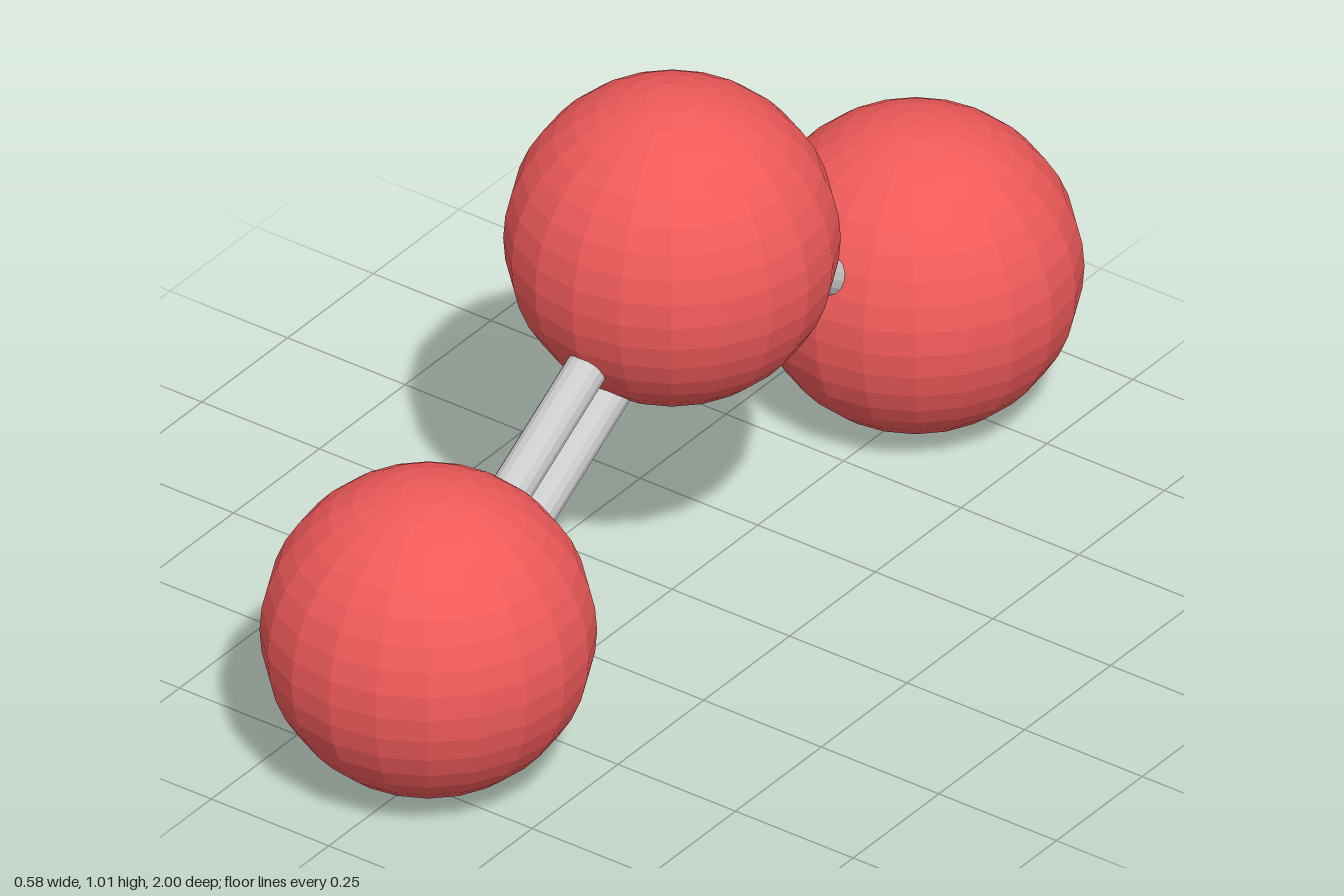
import * as THREE from 'three';

const BALL_RADIUS = 0.29;
const ROD_RADIUS = 0.037;

export function createModel() {
  const model = new THREE.Group();
  const red = new THREE.MeshStandardMaterial({ color: 0xf05a5a, flatShading: true });
  const grey = new THREE.MeshStandardMaterial({ color: 0xcccccc, flatShading: true });

  const centre = new THREE.Vector3(0, 0.72, 0);
  const front = new THREE.Vector3(0, 0.29, 0.71);
  const back = new THREE.Vector3(0, 0.29, -0.71);

  // Three equal balls in a bent chain
  const ballGeometry = new THREE.SphereGeometry(BALL_RADIUS, 20, 20);
  const addBall = (name, position) => {
    const ball = new THREE.Mesh(ballGeometry, red);
    ball.name = name;
    ball.position.copy(position);
    model.add(ball);
  };
  addBall('centreBall', centre);
  addBall('frontBall', front);
  addBall('backBall', back);

  // A rod from the centre ball to an outer one, shifted square to its length
  const addRod = (name, end, offset) => {
    const along = end.clone().sub(centre);
    const length = along.length();
    along.normalize();
    const shift = new THREE.Vector3(0, Math.abs(along.z), -along.y * Math.sign(along.z));
    const rod = new THREE.Mesh(new THREE.CylinderGeometry(ROD_RADIUS, ROD_RADIUS, length, 16), grey);
    rod.name = name;
    rod.position.copy(centre).lerp(end, 0.5).addScaledVector(shift, offset);
    rod.quaternion.setFromUnitVectors(new THREE.Vector3(0, 1, 0), along);
    model.add(rod);
  };
  addRod('upperFrontRod', front, 0.012);
  addRod('lowerFrontRod', front, -0.095);
  addRod('backRod', back, -0.033);

  return model;
}
